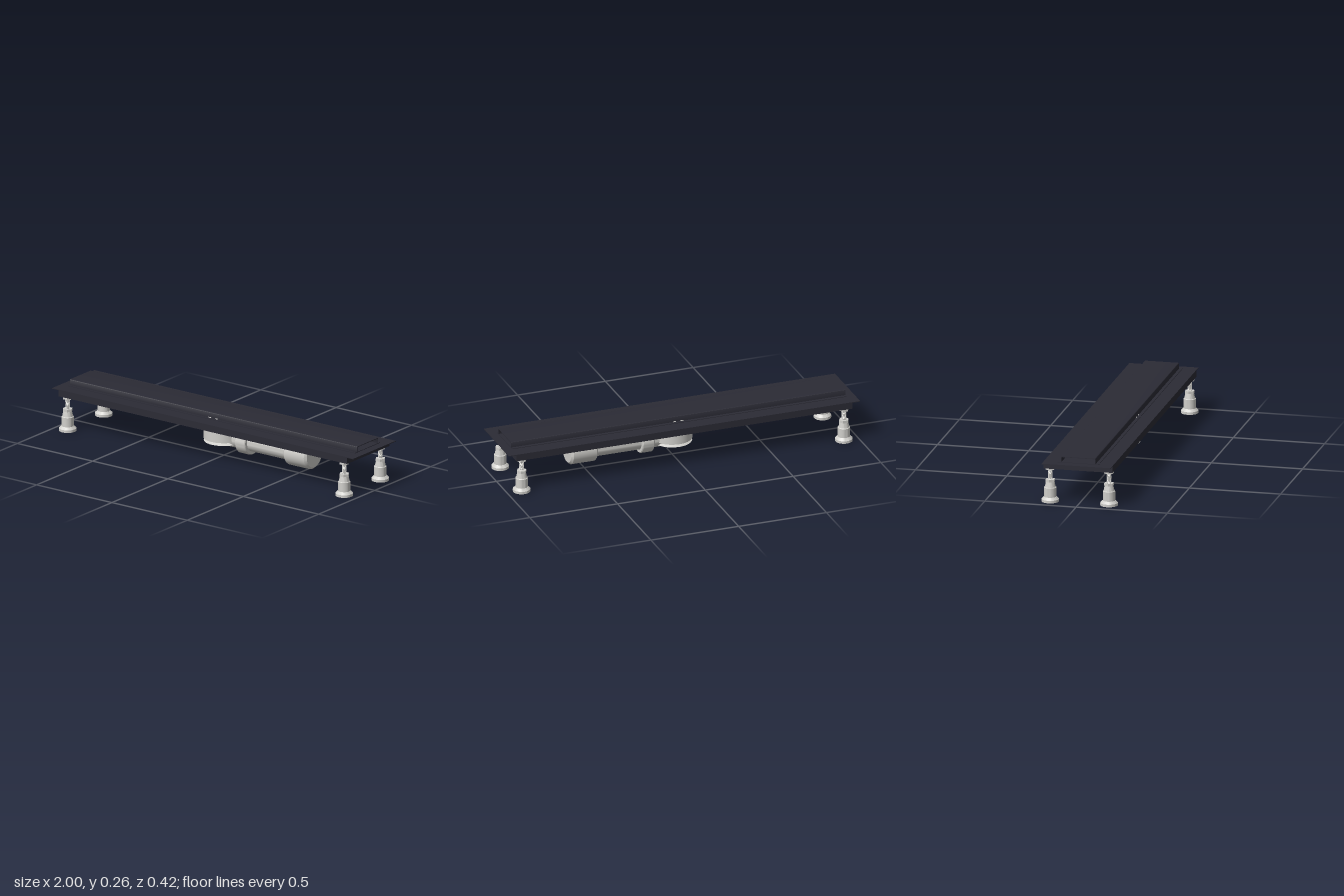
import * as THREE from 'three';
import { toCreasedNormals } from 'three/addons/utils/BufferGeometryUtils.js';

const dark = new THREE.MeshStandardMaterial({ color: 0x2b2b35 });
dark.name = 'darkCoating';
const grey = new THREE.MeshStandardMaterial({ color: 0xd0cfcb });
grey.name = 'lightGreyPlastic';

function add(parent, name, geometry, material, x = 0, y = 0, z = 0) {
  const mesh = new THREE.Mesh(geometry, material);
  mesh.name = name;
  mesh.position.set(x, y, z);
  parent.add(mesh);
  return mesh;
}

// Turned part from [radius, height] pairs, listed from bottom to top
function turned(points, sides = 48) {
  const profile = points.map(([r, h]) => new THREE.Vector2(r, h));
  return toCreasedNormals(new THREE.LatheGeometry(profile, sides), 0.5);
}

function addTray(group) {
  const tray = new THREE.Group();
  tray.name = 'tray';
  // Wide mounting flange, shallow pan and the raised bed under the cover
  add(tray, 'flange', new THREE.BoxGeometry(2, 0.004, 0.378), dark, 0, 0.226, 0);
  add(tray, 'pan', new THREE.BoxGeometry(1.906, 0.024, 0.372), dark, 0, 0.212, 0);
  add(tray, 'coverBed', new THREE.BoxGeometry(1.906, 0.003, 0.225), dark, 0, 0.2292, 0);
  // Downturned rim around the pan
  for (const s of [-1, 1]) {
    add(tray, 'longRim', new THREE.BoxGeometry(1.914, 0.035, 0.005), dark, 0, 0.2075, s * 0.1865);
    add(tray, 'endRim', new THREE.BoxGeometry(0.005, 0.035, 0.37), dark, s * 0.9545, 0.2075, 0);
  }
  group.add(tray);
}

function addCover(group) {
  // Folded sheet channel, open at both ends
  const w = 0.095, bottom = 0.229, top = 0.261, t = 0.0035, r = 0.007;
  const s = new THREE.Shape();
  s.moveTo(-w, bottom);
  s.lineTo(-w + t, bottom);
  s.lineTo(-w + t, top - r);
  s.quadraticCurveTo(-w + t, top - t, -w + r, top - t);
  s.lineTo(w - r, top - t);
  s.quadraticCurveTo(w - t, top - t, w - t, top - r);
  s.lineTo(w - t, bottom);
  s.lineTo(w, bottom);
  s.lineTo(w, top - r);
  s.quadraticCurveTo(w, top, w - r, top);
  s.lineTo(-w + r, top);
  s.quadraticCurveTo(-w, top, -w, top - r);
  s.closePath();
  const length = 1.906;
  const g = new THREE.ExtrudeGeometry(s, { depth: length, bevelEnabled: false, curveSegments: 4 });
  g.translate(0, 0, -length / 2);
  g.rotateY(Math.PI / 2);
  add(group, 'cover', toCreasedNormals(g, 0.6), dark);
  // Small pale clips at the middle of each long side
  for (const side of [-1, 1])
    for (const x of [-0.022, 0.022])
      add(group, 'clip', new THREE.BoxGeometry(0.018, 0.004, 0.003), grey, x, 0.2325, side * 0.096);
}

function addTrap(group) {
  const trap = new THREE.Group();
  trap.name = 'trap';
  // Round trap with a top flange and a flared bottom cap
  add(trap, 'trapBody', turned([
    [0, 0.086], [0.108, 0.086], [0.075, 0.104], [0.075, 0.102], [0.109, 0.102],
    [0.109, 0.184], [0.126, 0.184], [0.126, 0.192], [0.108, 0.192], [0.108, 0.201], [0, 0.201],
  ], 64), grey);

  // Outlet pipe with its collar and end socket, running along +x
  const outlet = new THREE.Group();
  outlet.name = 'outlet';
  outlet.position.y = 0.119;
  outlet.rotation.z = -Math.PI / 2;
  add(outlet, 'pipe', turned([[0, 0], [0.057, 0], [0.057, 0.46], [0, 0.46]]), grey);
  add(outlet, 'collar', turned([
    [0.056, 0.125], [0.071, 0.125], [0.077, 0.131], [0.077, 0.19], [0.073, 0.195], [0.056, 0.195],
  ]), grey);
  add(outlet, 'socket', turned([
    [0.056, 0.45], [0.073, 0.45], [0.079, 0.457], [0.079, 0.588], [0.068, 0.6], [0, 0.6],
  ]), grey);
  trap.add(outlet);
  group.add(trap);
}

function addFoot(group, x, z) {
  const foot = new THREE.Group();
  foot.name = 'foot';
  foot.position.set(x, 0, z);
  // Stepped foot, hollow underneath
  add(foot, 'footBase', turned([
    [0, 0.03], [0.03, 0.03], [0.03, 0], [0.047, 0], [0.047, 0.014], [0.034, 0.027],
    [0.033, 0.027], [0.033, 0.078], [0.029, 0.081], [0.023, 0.111], [0, 0.111],
  ], 32), grey);
  // Threaded stud
  const thread = [[0, 0.12]];
  for (let i = 0; i < 11; i++) {
    const h = 0.121 + i * 0.0052;
    thread.push([0.0105, h], [0.013, h + 0.0026]);
  }
  thread.push([0.0105, 0.179], [0.0105, 0.201], [0, 0.201]);
  add(foot, 'stud', turned(thread, 20), grey);
  // Hexagonal nuts
  const nut = toCreasedNormals(new THREE.CylinderGeometry(0.027, 0.027, 0.014, 6), 0.3);
  add(foot, 'lowerNut', nut, grey, 0, 0.116, 0).rotation.y = Math.PI / 6;
  add(foot, 'upperNut', nut, grey, 0, 0.184, 0).rotation.y = Math.PI / 6;
  group.add(foot);
}

export function createModel() {
  const model = new THREE.Group();
  model.name = 'linearFloorDrain';
  addTray(model);
  addCover(model);
  addTrap(model);
  for (const x of [-0.918, 0.918])
    for (const z of [-0.161, 0.161]) addFoot(model, x, z);
  return model;
}
